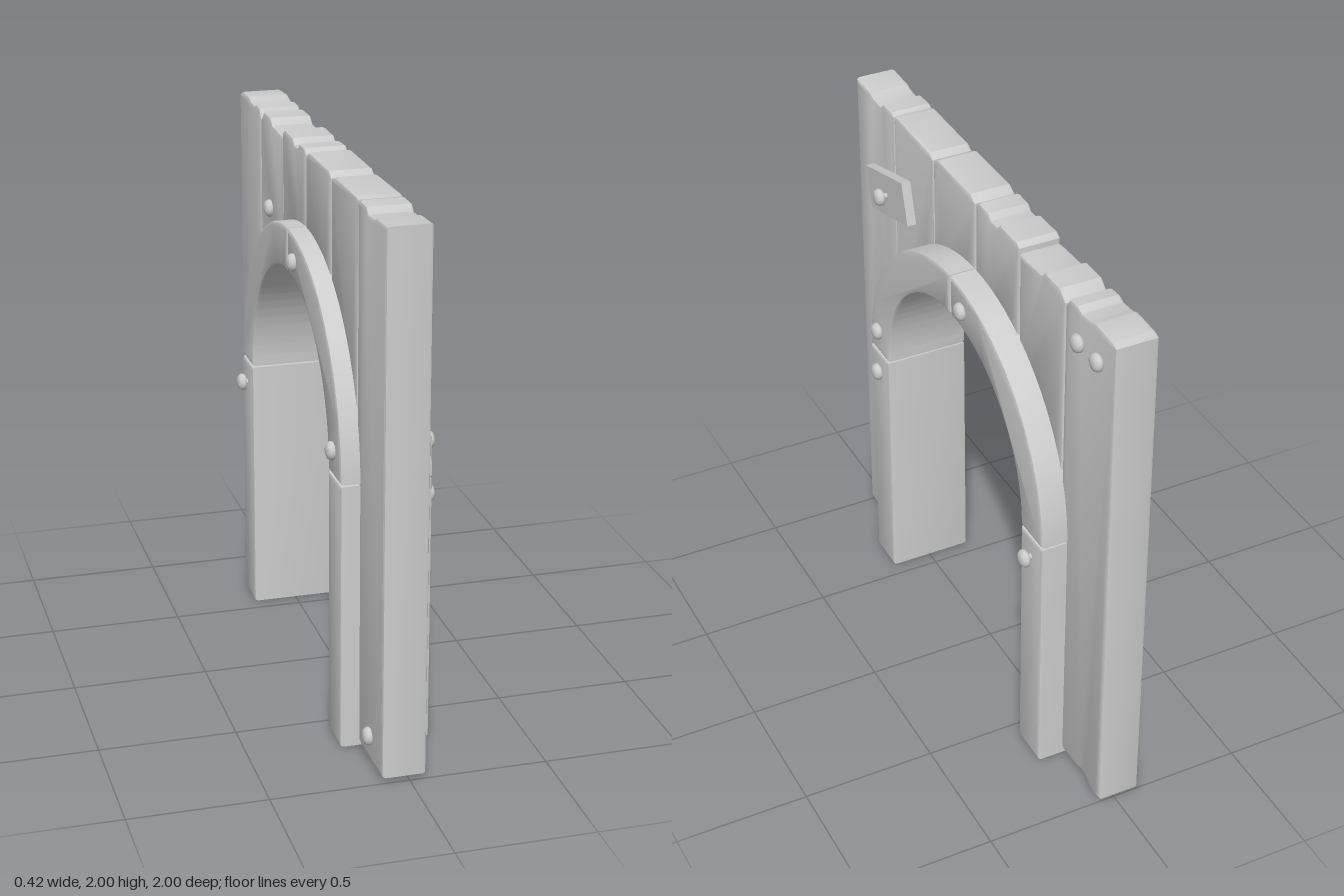
import * as THREE from 'three';
import { toCreasedNormals } from 'three/addons/utils/BufferGeometryUtils.js';

const material = new THREE.MeshStandardMaterial({ color: 0xcccccc });
const BEVEL = 0.012;
const WALL = [-0.1, 0.06];    // x range of the planks
const FRAME = [-0.17, 0.16];  // x range of the posts and arch

// Outline drawn in (s, y) with s = -z, given thickness along x and soft edges
function slab(name, shape, [x0, x1], bevel = BEVEL) {
  const g = new THREE.ExtrudeGeometry(shape, {
    depth: x1 - x0 - 2 * bevel, curveSegments: 10,
    bevelEnabled: true, bevelSize: bevel, bevelThickness: bevel,
    bevelOffset: -bevel, bevelSegments: 2,
  });
  g.translate(0, 0, x0 + bevel);
  g.rotateY(Math.PI / 2);
  const mesh = new THREE.Mesh(toCreasedNormals(g, 0.4), material);
  mesh.name = name;
  return mesh;
}

const polygon = (pts) => new THREE.Shape(pts.map(([s, y]) => new THREE.Vector2(s, y)));

const rect = (s0, s1, y0, y1) => polygon([[s0, y0], [s1, y0], [s1, y1], [s0, y1]]);

// Short plank whose lower end follows the arch, hidden inside it
function shortPlank(top) {
  const s0 = top[0][0], s1 = top[top.length - 1][0];
  const pts = [];
  for (let i = 0; i <= 5; i++) {
    const s = s0 + (s1 - s0) * i / 5;
    pts.push([s, 1 + Math.sqrt(Math.max(0.65 * 0.65 - s * s, 0.01))]);
  }
  return polygon([...pts, ...top.slice().reverse()]);
}

// Quarter ring between two angles
function archHalf(a0, a1) {
  const shape = new THREE.Shape();
  shape.absarc(0, 1.004, 0.715, a0, a1, false);
  shape.absarc(0, 1.004, 0.555, a1, a0, true);
  shape.closePath();
  return shape;
}

// Round-headed bolt on a thin shank: outer tip at x, shank running inward
const headProfile = [
  [0, -0.1], [0.011, -0.1], [0.011, 0], [0.027, 0], [0.033, 0.007],
  [0.033, 0.016], [0.027, 0.026], [0.016, 0.031], [0, 0.033],
].map(([r, h]) => new THREE.Vector2(r, h));
const boltGeometry = toCreasedNormals(new THREE.LatheGeometry(headProfile, 16), 0.7);

function bolt(x, y, z) {
  const side = Math.sign(x);
  const mesh = new THREE.Mesh(boltGeometry, material);
  mesh.name = 'bolt';
  mesh.rotation.z = -side * Math.PI / 2;
  mesh.position.set(x - side * 0.033, y, z);
  return mesh;
}

export function createModel() {
  const group = new THREE.Group();
  group.name = 'archedDoorway';

  // Full-height outer planks with chipped ends
  group.add(slab('outerPlankFront', polygon([
    [-1, 0.02], [-0.9, 0.018], [-0.87, 0.01], [-0.74, 0.01], [-0.71, 0.02], [-0.669, 0.02],
    [-0.669, 1.99], [-0.69, 2], [-0.765, 1.998], [-0.785, 1.977], [-0.85, 1.98], [-0.88, 1.99], [-1, 1.995],
  ]), WALL));
  group.add(slab('outerPlankBack', polygon([
    [0.663, 0.02], [0.82, 0.022], [0.85, 0.035], [0.885, 0.035], [0.915, 0.004], [0.97, 0], [1, 0.01],
    [1, 1.985], [0.97, 1.995], [0.86, 2], [0.83, 1.99], [0.77, 1.985], [0.74, 1.997], [0.69, 1.993], [0.663, 1.958],
  ]), WALL));

  // Short planks above the opening, each with its own worn top
  const tops = [
    [[-0.667, 1.995], [-0.64, 2], [-0.37, 1.995], [-0.338, 1.98]],
    [[-0.335, 1.982], [-0.3, 2], [-0.04, 2], [-0.002, 1.98]],
    [[0.002, 1.982], [0.03, 2], [0.1, 1.998], [0.12, 1.978], [0.165, 1.978], [0.19, 1.998], [0.31, 2], [0.332, 1.985]],
    [[0.335, 1.966], [0.49, 1.972], [0.52, 1.995], [0.62, 1.995], [0.661, 1.96]],
  ];
  for (const top of tops) group.add(slab('shortPlank', shortPlank(top), WALL));

  // Posts and the two halves of the arch
  for (const [s0, s1] of [[-0.715, -0.555], [0.555, 0.715]]) {
    group.add(slab('post', rect(s0, s1, 0.004, 1), FRAME));
  }
  group.add(slab('archHalfBack', archHalf(0.004, Math.PI / 2 - 0.004), FRAME));
  group.add(slab('archHalfFront', archHalf(Math.PI / 2 + 0.004, Math.PI - 0.004), FRAME));

  // Tilted patch plate
  const plate = new THREE.Mesh(new THREE.BoxGeometry(0.035, 0.165, 0.332), material);
  plate.name = 'patchPlate';
  plate.position.set(0.0775, 1.67, 0.67);
  plate.rotation.x = 0.27;
  group.add(plate);

  // Bolts: outer tip x, then y and z
  const bolts = [
    [0.093, 1.88, -0.9], [0.093, 1.875, -0.77],   // back plank
    [0.145, 1.67, 0.67],                          // plate
    [0.19, 1.63, -0.1], [0.19, 1.11, 0.63],       // arch, +x
    [0.19, 0.915, 0.64], [0.207, 0.92, -0.635],   // posts, +x
    [-0.198, 1.62, 0.1], [-0.198, 1.1, 0.62],     // arch, -x
    [-0.211, 0.915, -0.64],                       // post, -x
    [-0.128, 1.65, -0.51], [-0.128, 0.11, 0.85],  // planks, -x
  ];
  for (const [x, y, z] of bolts) group.add(bolt(x, y, z));

  return group;
}
